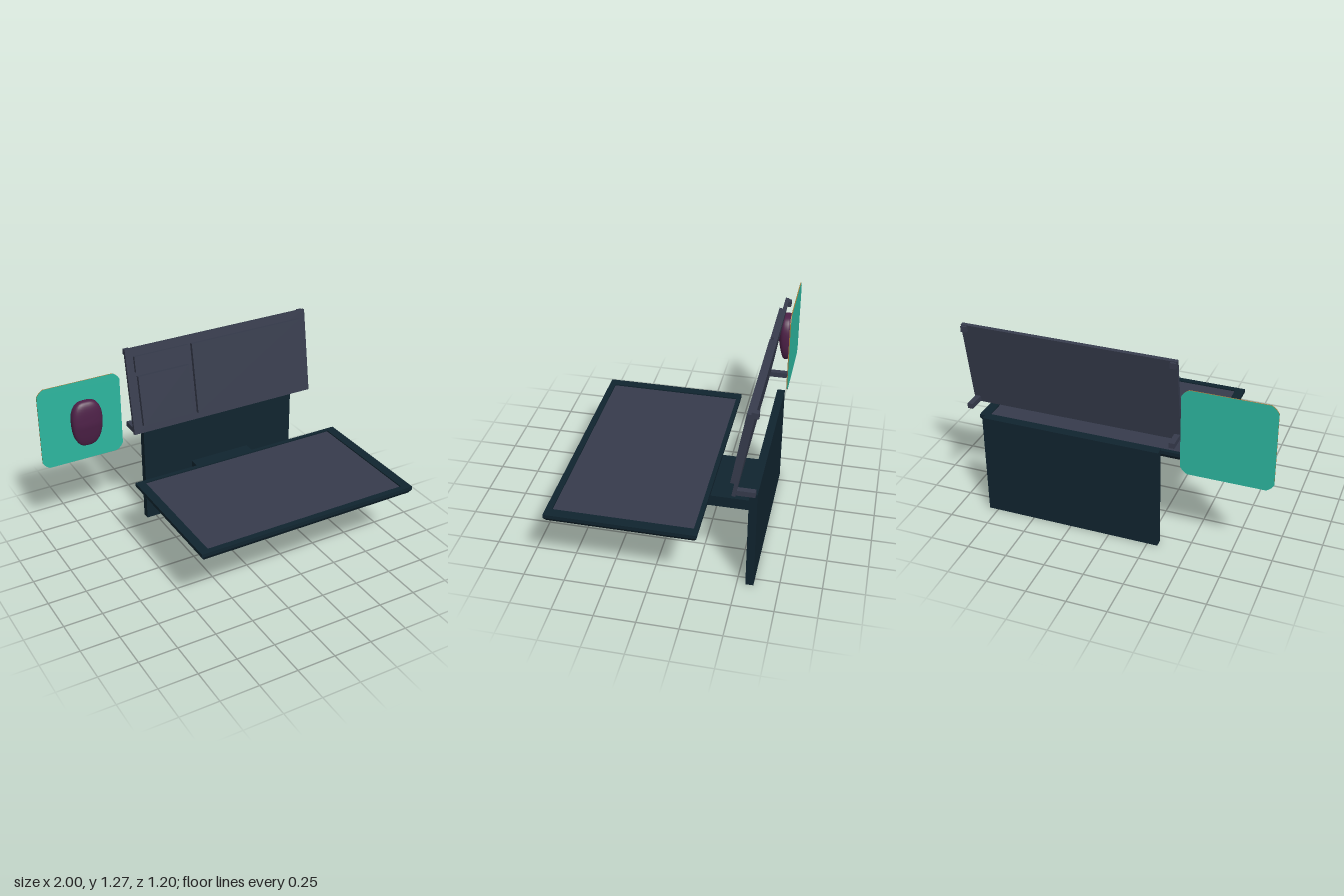
import * as THREE from 'three';

const paint = (name, color) => {
  const m = new THREE.MeshStandardMaterial({ color });
  m.name = name;
  return m;
};

export function createModel() {
  const root = new THREE.Group();
  root.name = 'desktopSet';
  const navy = paint('darkNavy', 0x10242f);
  const slate = paint('slateGrey', 0x363b4c);
  const teal = paint('teal', 0x2db69f);
  const tan = paint('tanEdge', 0xa07a3a);
  const plum = paint('plum', 0x4e2148);

  const add = (name, geometry, material, parent = root) => {
    const mesh = new THREE.Mesh(geometry, material);
    mesh.name = name;
    parent.add(mesh);
    return mesh;
  };
  // box given by its limits on each axis
  const block = (name, x0, x1, y0, y1, z0, z1, material, parent) => {
    const g = new THREE.BoxGeometry(x1 - x0, y1 - y0, z1 - z0);
    g.translate((x0 + x1) / 2, (y0 + y1) / 2, (z0 + z1) / 2);
    return add(name, g, material, parent);
  };

  // Monitor: tapered back shell, raised bezel and inset display
  const monitor = new THREE.Group();
  monitor.name = 'monitor';
  root.add(monitor);
  const cx = 0.2475, cz = 0.153, w = 1.505, d = 0.894;
  const shell = new THREE.BoxGeometry(w, 0.025, d);
  const sp = shell.attributes.position;
  for (let i = 0; i < sp.count; i++) {
    if (sp.getY(i) < 0) {
      sp.setX(i, sp.getX(i) - Math.sign(sp.getX(i)) * 0.017);
      sp.setZ(i, sp.getZ(i) - Math.sign(sp.getZ(i)) * 0.014);
    }
  }
  shell.computeVertexNormals();
  shell.translate(cx, 0.4405, cz);
  add('monitorShell', shell, navy, monitor);

  const rectangle = (path, x0, x1, y0, y1) => {
    path.moveTo(x0, y0);
    path.lineTo(x1, y0);
    path.lineTo(x1, y1);
    path.lineTo(x0, y1);
    path.closePath();
    return path;
  };
  const bezelShape = rectangle(new THREE.Shape(), cx - w / 2, cx + w / 2, -cz - d / 2, -cz + d / 2);
  bezelShape.holes.push(rectangle(new THREE.Path(), -0.447, 0.938, -0.562, 0.268));
  const bezel = new THREE.ExtrudeGeometry(bezelShape, { depth: 0.023, bevelEnabled: false });
  bezel.rotateX(-Math.PI / 2);
  bezel.translate(0, 0.453, 0);
  add('monitorBezel', bezel, navy, monitor);
  block('display', -0.447, 0.938, 0.453, 0.468, -0.268, 0.562, slate, monitor);

  // Stand
  const stand = new THREE.Group();
  stand.name = 'stand';
  root.add(stand);
  block('standBase', -0.315, 0.808, 0, 0.665, -0.6, -0.552, navy, stand);
  block('standColumn', 0.032, 0.462, 0.277, 0.35, -0.552, -0.137, navy, stand);
  block('standNeck', 0.032, 0.462, 0.35, 0.43, -0.217, -0.137, navy, stand);

  // Keyboard: leaning plate with raised key areas
  const keyboard = new THREE.Group();
  keyboard.name = 'keyboard';
  keyboard.position.set(0, 0.714, -0.468);
  keyboard.rotation.x = -0.167;
  root.add(keyboard);
  block('keyboardPlate', -0.415, 0.905, 0, 0.566, -0.022, 0, slate, keyboard);
  block('mainKeys', 0.037, 0.853, 0.045, 0.514, 0, 0.025, slate, keyboard);
  block('numberKeys', -0.355, 0.002, 0.053, 0.383, 0, 0.025, slate, keyboard);
  block('functionKeys', -0.365, 0.012, 0.411, 0.514, 0, 0.022, slate, keyboard);
  for (const x of [-0.412, 0.865]) {
    block('longFoot', x, x + 0.035, 0.717, 0.75, -0.6, -0.485, slate);
    block('shortFoot', x, x + 0.035, 1.23, 1.265, -0.6, -0.57, slate);
  }

  // Mouse pad with rounded corners and contrasting edge
  const [x0, x1, y0, y1, r] = [-1, -0.447, 0.563, 1.115, 0.045];
  const padShape = new THREE.Shape();
  padShape.moveTo(x0 + r, y0);
  padShape.lineTo(x1 - r, y0);
  padShape.quadraticCurveTo(x1 - r / 3, y0 + r / 3, x1, y0 + r);
  padShape.lineTo(x1, y1 - r);
  padShape.quadraticCurveTo(x1 - r / 3, y1 - r / 3, x1 - r, y1);
  padShape.lineTo(x0 + r, y1);
  padShape.quadraticCurveTo(x0 + r / 3, y1 - r / 3, x0, y1 - r);
  padShape.lineTo(x0, y0 + r);
  padShape.quadraticCurveTo(x0 + r / 3, y0 + r / 3, x0 + r, y0);
  const pad = new THREE.ExtrudeGeometry(padShape, { depth: 0.006, bevelEnabled: false, curveSegments: 4 });
  pad.translate(0, 0, -0.6);
  add('mousePad', pad, [teal, tan]);

  // Mouse: rounded block narrowing and thinning towards its lower end
  const mouse = new THREE.SphereGeometry(1, 40, 28);
  const mp = mouse.attributes.position;
  const p = new THREE.Vector3();
  const n = 3.2;
  for (let i = 0; i < mp.count; i++) {
    p.fromBufferAttribute(mp, i);
    const size = (Math.abs(p.x) ** n + Math.abs(p.y) ** n + Math.abs(p.z) ** n) ** (1 / n);
    p.divideScalar(size);
    const width = 0.102 * (1 - 0.17 * (p.y - 0.2) ** 2);
    const depth = p.z > 0 ? 0.047 * (1 - 0.55 * Math.max(0, -p.y)) : 0.043;
    mp.setXYZ(i, -0.702 + p.x * width, 0.842 + p.y * 0.157, -0.552 + p.z * depth);
  }
  mouse.computeVertexNormals();
  add('mouse', mouse, plum);

  return root;
}
